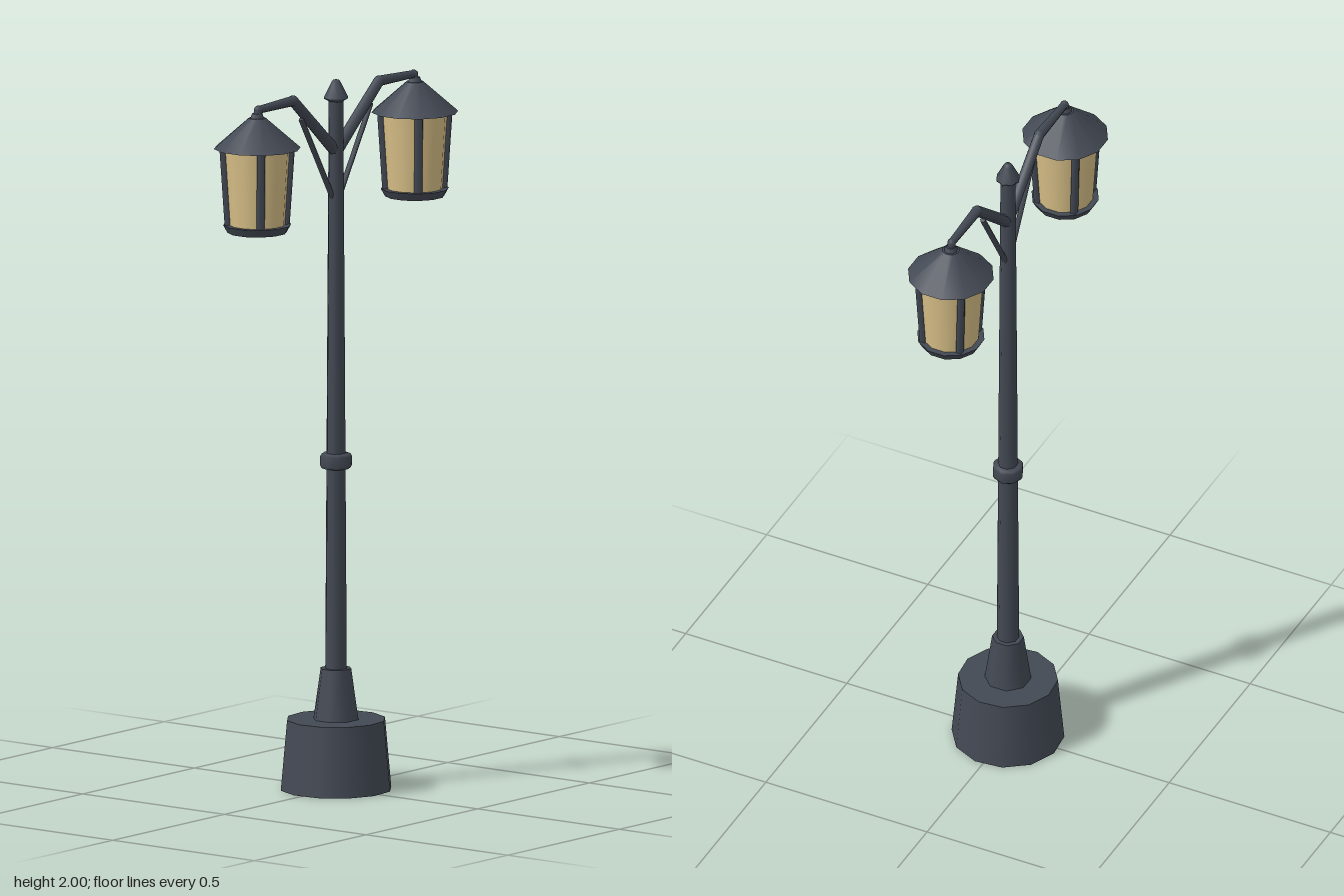
import * as THREE from 'three';

const metal = new THREE.MeshStandardMaterial({ color: 0x434954, side: THREE.DoubleSide });
metal.name = 'dark iron';
const glass = new THREE.MeshStandardMaterial({ color: 0xd6be86 });
glass.name = 'warm glass';

function add(parent, name, geometry, material = metal) {
  const mesh = new THREE.Mesh(geometry, material);
  mesh.name = name;
  parent.add(mesh);
  return mesh;
}

// Upright tapered cylinder between two heights
function column(parent, name, y0, y1, r0, r1, sides, open = false, material = metal, turn = 0) {
  const geometry = new THREE.CylinderGeometry(r1, r0, y1 - y0, sides, 1, open);
  geometry.rotateY(turn).translate(0, (y0 + y1) / 2, 0);
  return add(parent, name, geometry, material);
}

// Tapered bar between two points
function bar(parent, name, a, b, r0, r1, sides = 8) {
  const from = new THREE.Vector3(...a), to = new THREE.Vector3(...b);
  const dir = to.clone().sub(from);
  const mesh = add(parent, name, new THREE.CylinderGeometry(r1, r0, dir.length(), sides));
  mesh.position.copy(from).add(to).multiplyScalar(0.5);
  mesh.quaternion.setFromUnitVectors(new THREE.Vector3(0, 1, 0), dir.normalize());
  return mesh;
}

function makeLantern() {
  const lantern = new THREE.Group();
  lantern.name = 'lantern';
  const flat = Math.PI / 12;
  column(lantern, 'lanternGlass', 1.635, 1.86, 0.078, 0.092, 12, true, glass, flat);
  column(lantern, 'lanternFloor', 1.62, 1.642, 0.083, 0.095, 12, false, metal, flat);
  column(lantern, 'lanternRoof', 1.857, 1.942, 0.121, 0.024, 12, false, metal, flat);
  column(lantern, 'lanternCap', 1.938, 1.955, 0.021, 0.014, 8);
  // Corner posts lean outward with the glass
  for (let i = 0; i < 4; i++) {
    const a = Math.PI / 4 + i * Math.PI / 2;
    const c = Math.cos(a), s = Math.sin(a);
    const post = bar(lantern, 'lanternPost', [c * 0.079, 1.635, s * 0.079],
      [c * 0.094, 1.86, s * 0.094], 0.0115, 0.0115, 4);
    post.rotateY(Math.PI / 4);
  }
  return lantern;
}

function makeArm(side) {
  const arm = new THREE.Group();
  arm.name = side > 0 ? 'leftArm' : 'rightArm';
  const root = [0, 1.795, 0], elbow = [side * 0.192, 1.967, 0];
  const bend = [side * 0.348, 1.964, 0], tip = [side * 0.353, 1.93, 0];
  bar(arm, 'armRise', root, elbow, 0.017, 0.015);
  bar(arm, 'armReach', elbow, bend, 0.015, 0.011);
  bar(arm, 'armDrop', bend, tip, 0.012, 0.012);
  // Rounded joints
  [[elbow, 0.0155], [bend, 0.0125]].forEach(([p, r]) =>
    add(arm, 'armJoint', new THREE.SphereGeometry(r, 8, 6)).position.set(...p));
  bar(arm, 'armBrace', [side * 0.01, 1.66, 0], [side * 0.156, 1.91, 0], 0.008, 0.008, 6);
  const lantern = makeLantern();
  lantern.position.x = side * 0.353;
  arm.add(lantern);
  return arm;
}

export function createModel() {
  const model = new THREE.Group();
  model.name = 'streetLamp';

  // Hollow base drum, open underneath
  const drum = new THREE.LatheGeometry(
    [[0.157, 0], [0.139, 0.197]].map(p => new THREE.Vector2(...p)), 12);
  drum.rotateY(-0.16);
  add(model, 'baseDrum', drum);
  const lid = new THREE.CircleGeometry(0.139, 12);
  lid.rotateX(-Math.PI / 2).rotateY(Math.PI / 2 - 0.16).translate(0, 0.197, 0);
  add(model, 'baseLid', lid);

  // Pole with foot and collar
  const turn = Math.PI / 8;
  column(model, 'poleFoot', 0.195, 0.34, 0.065, 0.044, 8, false, metal, turn);
  column(model, 'pole', 0.34, 1.95, 0.031, 0.021, 8, false, metal, turn);
  const ring = [[0.03, 0.902], [0.04, 0.904], [0.044, 0.911], [0.044, 0.938], [0.04, 0.945], [0.026, 0.947]];
  add(model, 'poleCollar', new THREE.LatheGeometry(ring.map(p => new THREE.Vector2(...p)), 8));

  // Pointed finial
  const point = [[0.02, 1.938], [0.034, 1.946], [0.034, 1.95], [0.014, 1.99], [0.009, 1.998], [0, 2]];
  add(model, 'finial', new THREE.LatheGeometry(point.map(p => new THREE.Vector2(...p)), 8));

  model.add(makeArm(1), makeArm(-1));
  return model;
}
